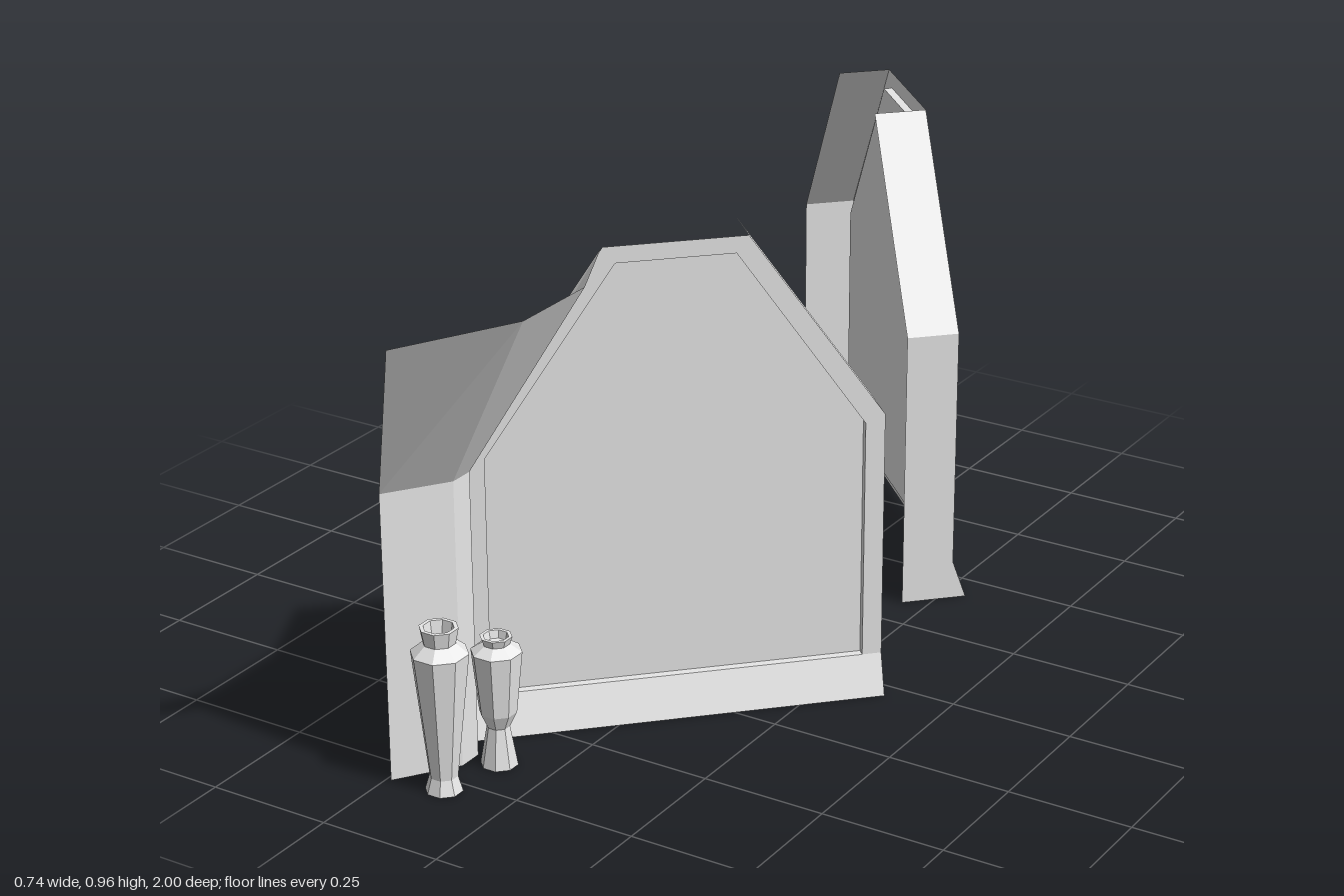
import * as THREE from 'three';

const stone = new THREE.MeshStandardMaterial({ color: 0xe7e7e7, side: THREE.DoubleSide, flatShading: true });
stone.name = 'pale stone';

function mesh(name, geometry) {
  const m = new THREE.Mesh(geometry, stone);
  m.name = name;
  return m;
}

// Flat-shaded ribbon of quads between two polylines of equal length
function strip(a, b) {
  const pos = [];
  for (let i = 0; i < a.length - 1; i++) {
    pos.push(...a[i], ...a[i + 1], ...b[i + 1], ...a[i], ...b[i + 1], ...b[i]);
  }
  const g = new THREE.BufferGeometry();
  g.setAttribute('position', new THREE.Float32BufferAttribute(pos, 3));
  g.computeVertexNormals();
  return g;
}

const flat = (pts) => new THREE.ShapeGeometry(new THREE.Shape(pts.map((p) => new THREE.Vector2(...p))));

// Wall bay with sloping shoulders, recessed panel and flared plinth; front is local +z
const RECESS = -0.017, DEPTH = -0.106, FLARE = 0.028;
const outer = [[0.4, 0.08], [0.4, 0.58], [0.136, 0.96], [-0.136, 0.96], [-0.4, 0.58], [-0.4, 0.08]];
const inner = [[0.362, 0.08], [0.362, 0.565], [0.113, 0.927], [-0.113, 0.927], [-0.362, 0.565], [-0.362, 0.08]];

function wallBay(name, sides) {
  const bay = new THREE.Group();
  bay.name = name;
  const at = (pts, z) => pts.map(([x, y]) => [x, y, z]);

  bay.add(mesh('frame', flat([...outer, ...[...inner].reverse()])));
  const panel = mesh('recessedPanel', flat(inner));
  panel.position.z = RECESS;
  bay.add(panel);
  const loop = [...inner, inner[0]];
  bay.add(mesh('panelReveal', strip(at(loop, 0), at(loop, RECESS))));

  // Plinth leaning forward to the floor
  bay.add(mesh('plinth', strip(
    [[-0.4, 0, FLARE], [0.4, 0, FLARE]], [[-0.4, 0.08, 0], [0.4, 0.08, 0]])));

  // Side walls and sloped shoulders running back from the frame
  for (const s of sides) {
    const front = [[s * 0.4, 0, FLARE], [s * 0.4, 0.08, 0], [s * 0.4, 0.58, 0], [s * 0.136, 0.96, 0]];
    const back = front.map(([x, y]) => [x, y, DEPTH]);
    bay.add(mesh('sideWall', s > 0 ? strip(front, back) : strip(back, front)));
  }
  return bay;
}

// Eight-sided vase from a radius/height profile
function vase(name, profile, x, z) {
  const pts = profile.map(([r, y]) => new THREE.Vector2(r, y));
  const v = mesh(name, new THREE.LatheGeometry(pts, 8, Math.PI / 8));
  v.position.set(x, 0, z);
  return v;
}

export function createModel() {
  const model = new THREE.Group();
  model.name = 'alcoveWalls';

  const frontBay = wallBay('frontWall', [1]);
  frontBay.position.set(0.0675, 0, 0.3025);
  frontBay.rotation.y = Math.PI / 4;
  const backBay = wallBay('backWall', [1, -1]);
  backBay.position.set(-0.0075, 0, -0.6925);
  backBay.rotation.y = 3 * Math.PI / 4;
  model.add(frontBay, backBay);

  // Folded corner wall with a vault leaning inward above it
  const eave = [[-0.215, 0.585], [-0.16, 0.645], [-0.16, 0.695], [-0.24, 0.81]];
  const crown = [[-0.03, 0.4], [0.055, 0.58], [0.055, 0.77], [-0.065, 1.0]];
  const level = (pts, y) => pts.map(([x, z]) => [x, y, z]);
  model.add(mesh('cornerWall', strip(level(eave, 0.58), level(eave, 0))));
  model.add(mesh('cornerVault', strip(level(crown, 0.96), level(eave, 0.58))));

  // Vases standing by the corner
  model.add(vase('tallVase', [
    [0, 0], [0.036, 0], [0.027, 0.03], [0.055, 0.282], [0.031, 0.302], [0.037, 0.333], [0.029, 0.333], [0.024, 0.302], [0, 0.3],
  ], -0.137, 0.785));
  model.add(vase('shortVase', [
    [0, 0], [0.036, 0], [0.022, 0.08], [0.036, 0.11], [0.049, 0.235], [0.026, 0.25], [0.031, 0.265], [0.024, 0.265], [0.02, 0.25], [0, 0.248],
  ], -0.108, 0.65));

  return model;
}
